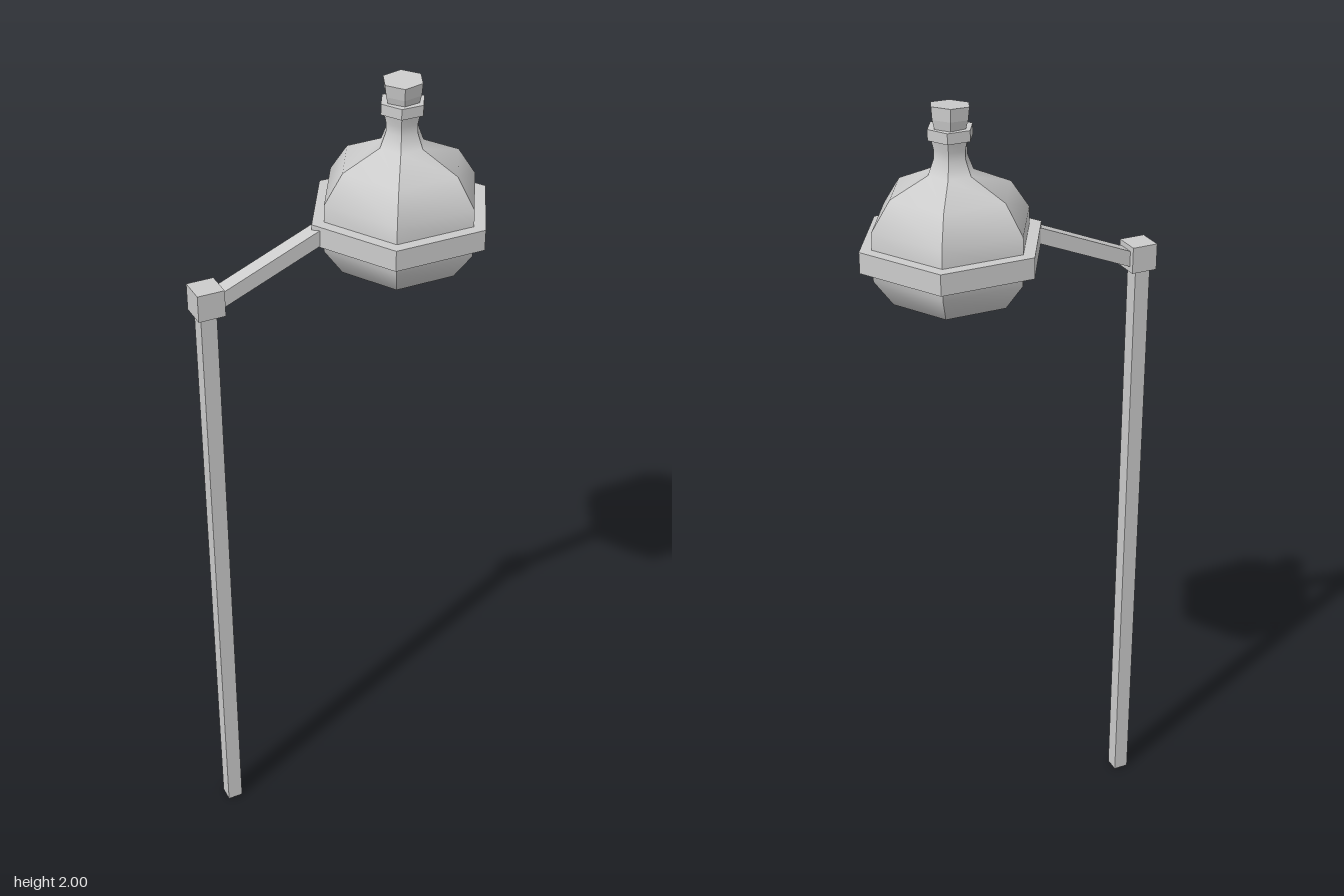
import * as THREE from 'three';
import { mergeGeometries } from 'three/addons/utils/BufferGeometryUtils.js';

const SIDES = 6;
const FLASK_X = 0.146;

// Six-sided body: each side is smooth along the profile, with sharp corners between sides
function facetedLathe(profile) {
  const points = profile.map(([r, y]) => new THREE.Vector2(r, y));
  const step = (Math.PI * 2) / SIDES;
  const strips = [];
  for (let i = 0; i < SIDES; i++) {
    const strip = new THREE.LatheGeometry(points, 1, Math.PI / 2 + i * step, step);
    strip.computeVertexNormals();
    strips.push(strip);
  }
  return mergeGeometries(strips);
}

export function createModel() {
  const smooth = new THREE.MeshStandardMaterial({ color: 0xcccccc });
  const flat = new THREE.MeshStandardMaterial({ color: 0xcccccc, flatShading: true });
  const model = new THREE.Group();
  model.name = 'hangingFlaskSign';

  function add(parent, name, geometry, material, x, y) {
    const mesh = new THREE.Mesh(geometry, material);
    mesh.name = name;
    mesh.position.set(x, y, 0);
    parent.add(mesh);
    return mesh;
  }
  const hexPrism = (top, bottom, height) =>
    new THREE.CylinderGeometry(top, bottom, height, SIDES, 1, false, Math.PI / 2);

  // Square post with a joint block on top
  add(model, 'post', new THREE.BoxGeometry(0.039, 1.55, 0.039), flat, -0.341, 0.775);
  add(model, 'jointBlock', new THREE.BoxGeometry(0.065, 0.065, 0.066), flat, -0.338, 1.568);

  // Sloping arm from the joint to the flask band
  const from = new THREE.Vector2(-0.335, 1.556);
  const to = new THREE.Vector2(-0.052, 1.673);
  const arm = add(model, 'arm', new THREE.BoxGeometry(from.distanceTo(to), 0.036, 0.039), flat,
    (from.x + to.x) / 2, (from.y + to.y) / 2);
  arm.rotation.z = Math.atan2(to.y - from.y, to.x - from.x);

  // Flask with band, lip and stopper
  const flask = new THREE.Group();
  flask.name = 'flask';
  flask.position.x = FLASK_X;
  model.add(flask);

  add(flask, 'flaskBody', facetedLathe([
    [0, 1.525], [0.06, 1.526], [0.147, 1.556], [0.193, 1.62], [0.194, 1.67], [0.193, 1.735],
    [0.147, 1.803], [0.055, 1.845], [0.041, 1.88], [0.04, 1.9], [0.047, 1.93],
  ]), smooth, 0, 0);
  add(flask, 'band', hexPrism(0.224, 0.224, 0.05), flat, 0, 1.67);
  add(flask, 'neckLip', hexPrism(0.054, 0.054, 0.025), flat, 0, 1.936);

  // Stopper, turned and tipped slightly in the neck
  const stopper = new THREE.Group();
  stopper.name = 'stopper';
  stopper.position.set(0, 1.968, 0);
  stopper.rotation.set(0.05, 0.14, 0.05);
  flask.add(stopper);
  add(stopper, 'stopperBase', hexPrism(0.045, 0.036, 0.035), flat, 0, -0.018);
  add(stopper, 'stopperHead', hexPrism(0.048, 0.045, 0.029), flat, 0, 0.0135);

  return model;
}
